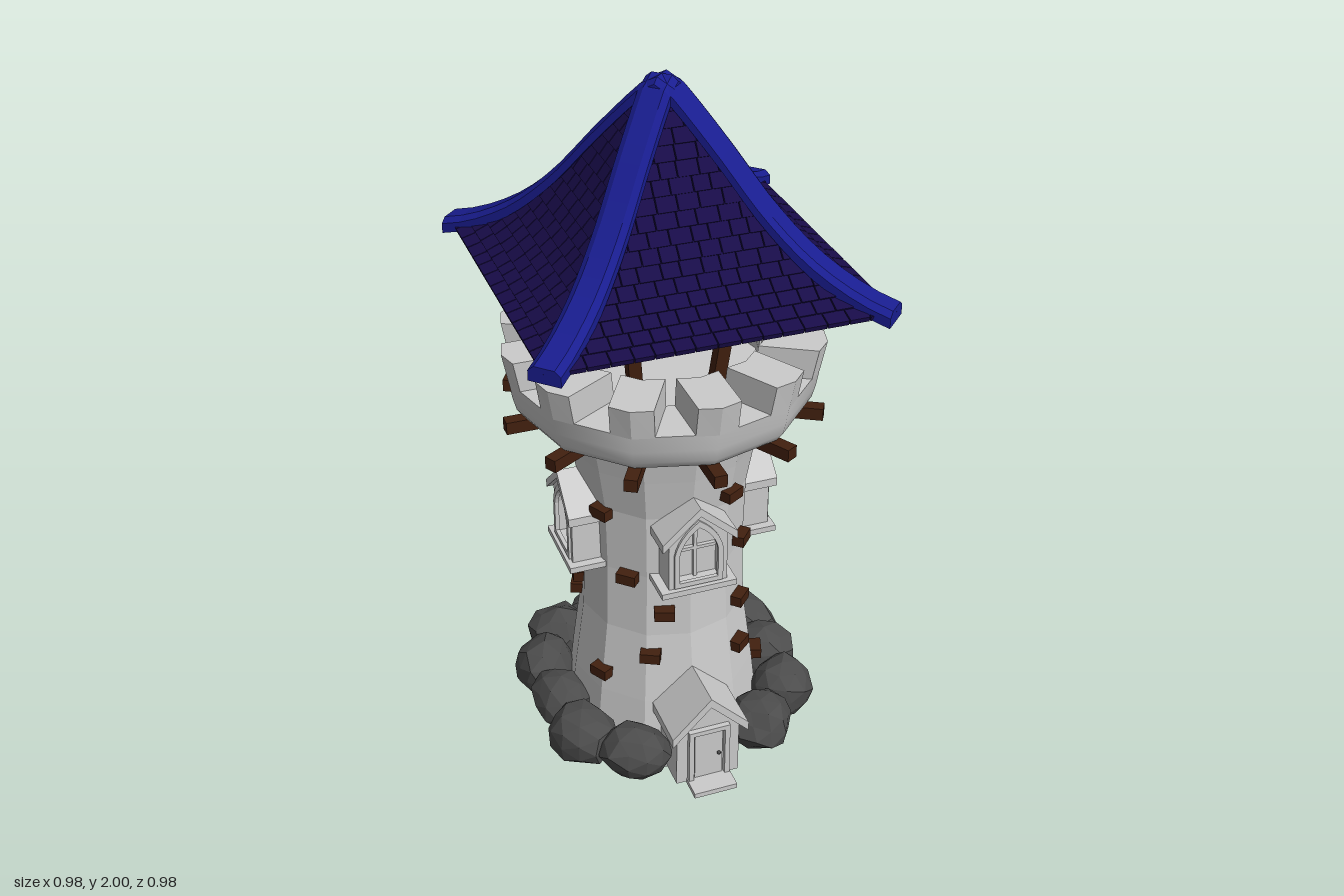
import * as THREE from 'three';
import { mergeGeometries, mergeVertices } from 'three/addons/utils/BufferGeometryUtils.js';

const mat = (color, extra = {}) => new THREE.MeshStandardMaterial({ color, flatShading: true, ...extra });
const STONE = mat(0xcccccc), SMOOTH_STONE = mat(0xcccccc, { flatShading: false });
const WOOD = mat(0x42200f), ROCK = mat(0x4c4c4c);
const TILE = mat(0x180c49), RIDGE = mat(0x191d90), UNDER = mat(0x0e1258);
const V2 = (x, y) => new THREE.Vector2(x, y);
const SIDES = 12;

let seed = 7;
const rand = () => (seed = (seed * 16807) % 2147483647) / 2147483647;

function add(parent, name, geometry, material, x = 0, y = 0, z = 0) {
  const mesh = new THREE.Mesh(geometry, material);
  mesh.name = name;
  mesh.position.set(x, y, z);
  parent.add(mesh);
  return mesh;
}
const box = (parent, name, material, w, h, d, x, y, z) =>
  add(parent, name, new THREE.BoxGeometry(w, h, d), material, x, y, z);
const extrude = (shape, depth) =>
  new THREE.ExtrudeGeometry(shape, { depth, bevelEnabled: false, curveSegments: 6 });
const lathe = (pts, seg, start = 0) =>
  new THREE.LatheGeometry(pts.map(p => V2(...p)), seg, start, Math.PI * 2);
function spoke(parent, name, angle) {
  const g = new THREE.Group();
  g.name = name;
  g.rotation.y = angle;
  parent.add(g);
  return g;
}

// Gabled front outline, and the bent slab that roofs it
const gable = (w, y0, eave, apex) =>
  new THREE.Shape([V2(-w, y0), V2(w, y0), V2(w, eave), V2(0, apex), V2(-w, eave)]);
const chevron = (w, eave, apex, t) => new THREE.Shape([
  V2(-w, eave), V2(-w, eave - t), V2(0, apex - t), V2(w, eave - t), V2(w, eave), V2(0, apex)]);
function pointedArch(w, y0, spring, top, Type = THREE.Path) {
  const p = new Type();
  p.moveTo(-w, y0).lineTo(w, y0).lineTo(w, spring);
  p.quadraticCurveTo(w * 0.85, (spring + top * 1.4) / 2.4, 0, top);
  p.quadraticCurveTo(-w * 0.85, (spring + top * 1.4) / 2.4, -w, spring);
  return p;
}

function buildWindow(parent, angle) {
  const g = spoke(parent, 'window', angle);
  const front = gable(0.085, 0.625, 0.79, 0.87);
  front.holes.push(pointedArch(0.063, 0.645, 0.745, 0.835));
  add(g, 'windowSurround', extrude(front, 0.11), STONE, 0, 0, 0.185);
  add(g, 'windowRoof', extrude(chevron(0.108, 0.797, 0.894, 0.026), 0.13), STONE, 0, 0, 0.18);
  box(g, 'windowSill', STONE, 0.22, 0.018, 0.13, 0, 0.624, 0.245);
  const frame = pointedArch(0.071, 0.637, 0.745, 0.848, THREE.Shape);
  frame.holes.push(pointedArch(0.056, 0.652, 0.745, 0.827));
  add(g, 'windowFrame', extrude(frame, 0.012), STONE, 0, 0, 0.29);
  add(g, 'windowPane', extrude(pointedArch(0.063, 0.645, 0.745, 0.835, THREE.Shape), 0.01), STONE, 0, 0, 0.25);
  box(g, 'windowMullion', STONE, 0.01, 0.18, 0.012, 0, 0.735, 0.265);
  box(g, 'windowCrossbar', STONE, 0.12, 0.01, 0.012, 0, 0.74, 0.265);
}

function buildDoor(parent) {
  const g = spoke(parent, 'doorway', 0);
  add(g, 'porch', extrude(gable(0.095, 0.004, 0.18, 0.285), 0.2), STONE, 0, 0, 0.19);
  add(g, 'porchRoof', extrude(chevron(0.115, 0.195, 0.312, 0.03), 0.2), STONE, 0, 0, 0.213);
  const frame = new THREE.Shape([V2(-0.062, 0.015), V2(0.062, 0.015), V2(0.062, 0.195), V2(-0.062, 0.195)]);
  frame.holes.push(new THREE.Path([V2(-0.047, 0.015), V2(0.047, 0.015), V2(0.047, 0.18), V2(-0.047, 0.18)]));
  add(g, 'doorFrame', extrude(frame, 0.016), STONE, 0, 0, 0.39);
  box(g, 'door', STONE, 0.084, 0.16, 0.01, 0, 0.097, 0.392);
  add(g, 'doorKnob', new THREE.SphereGeometry(0.006, 8, 6), ROCK, 0.03, 0.095, 0.401);
  box(g, 'doorStep', STONE, 0.13, 0.016, 0.1, 0, 0.008, 0.41);
}

function buildParapet(parent) {
  const R = 0.43, r = 0.275, w = 0.058, drop = w * Math.tan(Math.PI / SIDES);
  add(parent, 'parapetBowl', lathe([[0.27, 1.05], [0.35, 1.07], [0.395, 1.088], [0.412, 1.112],
    [0.422, 1.15], [R, 1.2]], SIDES), SMOOTH_STONE);
  add(parent, 'parapetFloor', lathe([[R, 1.2], [r, 1.2], [r, 1.17], [0, 1.17]], SIDES), STONE);
  // One merlon, bent over a corner of the ring and flared at its top
  const merlon = extrude(new THREE.Shape([V2(0, -R), V2(w, drop - R), V2(w, drop - r),
    V2(0, -r), V2(-w, drop - r), V2(-w, drop - R)]), 0.09).rotateX(-Math.PI / 2);
  const p = merlon.attributes.position;
  for (let i = 0; i < p.count; i++) if (p.getY(i) > 0.05) p.setZ(i, p.getZ(i) * 1.04);
  for (let i = 0; i < SIDES; i++) {
    const g = spoke(parent, 'battlement', i * Math.PI * 2 / SIDES);
    add(g, 'merlon', merlon, STONE, 0, 1.197, 0);
    box(g, 'floorBeam', WOOD, 0.036, 0.036, 0.22, 0, 1.067, 0.337);
  }
}

// Height of the roof ridge over horizontal distance from the axis
const roofCurve = new THREE.SplineCurve([V2(0, 2), V2(0.03, 1.98), V2(0.12, 1.848), V2(0.21, 1.705),
  V2(0.3, 1.595), V2(0.39, 1.525), V2(0.457, 1.495)]);

// Hip beam swept outward along +z, with its upper edges chamfered
function hipBeamGeometry(line) {
  const section = [[0.045, -0.042], [0.045, -0.014], [0.028, 0], [-0.028, 0], [-0.045, -0.014], [-0.045, -0.042]];
  const n = section.length, pos = [], idx = [];
  line.forEach((p, i) => {
    for (const [x, y] of section) pos.push(x, p.y + y, p.x * Math.SQRT2);
    if (i === 0) return;
    for (let k = 0; k < n; k++) {
      const a = (i - 1) * n + k, b = (i - 1) * n + (k + 1) % n;
      idx.push(a, b, a + n, b, b + n, a + n);
    }
  });
  const end = (line.length - 1) * n;
  for (let k = 1; k < n - 1; k++) idx.push(end, end + k, end + k + 1);
  const geo = new THREE.BufferGeometry();
  geo.setAttribute('position', new THREE.Float32BufferAttribute(pos, 3));
  geo.setIndex(idx);
  geo.computeVertexNormals();
  return geo;
}

function buildRoof(parent) {
  const g = spoke(parent, 'roof', 0);
  const line = roofCurve.getSpacedPoints(16);
  const shell = line.map(p => [p.x * 0.98 * Math.SQRT2, p.y - 0.03]).reverse();
  shell[0][1] = 1.478;
  add(g, 'roofShell', lathe([[0, 1.472], [shell[0][0], 1.472], ...shell], 4, Math.PI / 4), UNDER);

  // Overlapping courses of tiles, clipped at the hips
  const tiles = [], rows = roofCurve.getSpacedPoints(17);
  for (let side = 0; side < 4; side++) {
    for (let i = 1; i < rows.length - 1; i++) {
      const a = rows[i], b = rows[i + 1], len = a.distanceTo(b);
      const tilt = Math.atan2(a.y - b.y, b.x - a.x);
      let x = -b.x - rand() * 0.03;
      while (x < b.x) {
        const w = 0.045 + rand() * 0.02;
        const x0 = Math.max(x, -b.x), x1 = Math.min(x + w, b.x);
        x += w;
        if (x1 - x0 < 0.008) continue;
        tiles.push(new THREE.BoxGeometry(x1 - x0 - 0.003, 0.014, len * 1.12)
          .rotateX(tilt - 0.12 + rand() * 0.05)
          .translate((x0 + x1) / 2, (a.y + b.y) / 2 - 0.024, (a.x + b.x) / 2 - 0.003)
          .rotateY(side * Math.PI / 2));
      }
    }
  }
  add(g, 'roofTiles', mergeGeometries(tiles), TILE);

  const beam = hipBeamGeometry(line);
  for (let i = 0; i < 4; i++) add(g, 'hipBeam', beam, RIDGE).rotation.y = (i + 0.5) * Math.PI / 2;

  // Leaning posts
  for (const sx of [1, -1]) for (const sz of [1, -1]) {
    const low = new THREE.Vector3(sx * 0.115, 1.16, sz * 0.115);
    const high = new THREE.Vector3(sx * 0.148, 1.49, sz * 0.148);
    const post = box(g, 'roofPost', WOOD, 0.036, low.distanceTo(high), 0.036, 0, 0, 0);
    post.position.copy(low).add(high).multiplyScalar(0.5);
    post.quaternion.setFromUnitVectors(new THREE.Vector3(0, 1, 0), high.sub(low).normalize());
  }
}

// Boulders round the foot, pushed out on the diagonals
function buildRocks(parent) {
  const count = 12;
  for (let i = 0; i < count; i++) {
    const a = THREE.MathUtils.degToRad(32 + i * 296 / (count - 1));
    const dist = 0.318 + 0.055 * Math.abs(Math.sin(2 * a));
    let geo = new THREE.IcosahedronGeometry(1, 1);
    geo.deleteAttribute('normal');
    geo.deleteAttribute('uv');
    geo = mergeVertices(geo, 1e-3);
    const p = geo.attributes.position;
    for (let k = 0; k < p.count; k++) {
      const s = 0.88 + rand() * 0.2;
      p.setXYZ(k, p.getX(k) * s, p.getY(k) * s, p.getZ(k) * s);
    }
    geo.computeVertexNormals();
    const rock = add(parent, 'rock', geo, ROCK, Math.sin(a) * dist, 0.095, Math.cos(a) * dist);
    rock.scale.set(0.1 + rand() * 0.012, 0.078 + rand() * 0.014, 0.09 + rand() * 0.012);
    rock.rotation.y = a;
  }
}

// Beam ends poking out of the wall: [angle in degrees, height]
const STUDS = [[29, 0.86], [48, 0.66], [45, 0.457], [39, 0.315], [71, 0.175], [116, 0.91], [132, 0.71],
  [138, 0.505], [110, 0.41], [104, 0.267], [-62, 0.81], [-43, 0.615], [-18, 0.505], [-27, 0.36],
  [-60, 0.267], [160, 0.36], [145, 0.22], [-165, 0.45], [-140, 0.88], [-130, 0.64],
  [-115, 0.41], [-145, 0.3], [-100, 0.5]];
const WALL = [[0.295, 0.004], [0.272, 0.2], [0.242, 0.42], [0.235, 0.62], [0.24, 0.82], [0.262, 0.95], [0.287, 1.08]];

function wallRadius(y) {
  const i = WALL.findIndex(p => p[1] > y), [r0, y0] = WALL[i - 1], [r1, y1] = WALL[i];
  return r0 + (r1 - r0) * (y - y0) / (y1 - y0);
}

export function createModel() {
  const model = new THREE.Group();
  model.name = 'watchtower';
  add(model, 'towerWall', lathe(WALL, SIDES), STONE);
  add(model, 'footing', new THREE.CylinderGeometry(0.325, 0.325, 0.014, 40), STONE, 0, 0.008, 0);
  box(model, 'pathSlab', STONE, 0.11, 0.008, 0.2, 0, 0.004, 0.36);
  buildRocks(model);
  buildDoor(model);
  for (let i = 0; i < 4; i++) buildWindow(model, i * Math.PI / 2);
  for (const [deg, y] of STUDS) {
    const g = spoke(model, 'wallStud', THREE.MathUtils.degToRad(deg));
    box(g, 'studBlock', WOOD, 0.058, 0.032, 0.07, 0, y, wallRadius(y) - 0.01);
  }
  buildParapet(model);
  buildRoof(model);
  return model;
}
